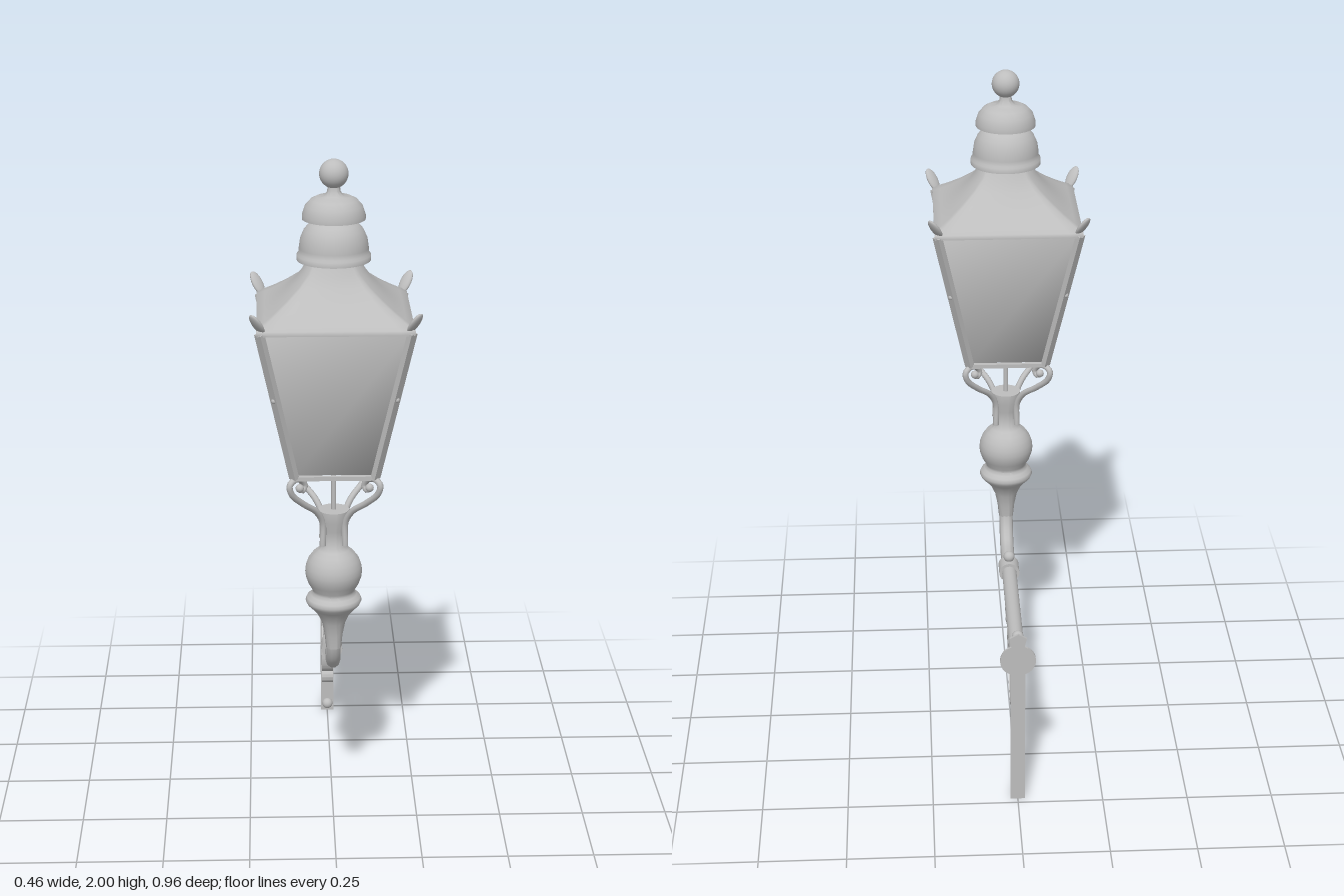
import * as THREE from 'three';
import { mergeVertices, toCreasedNormals } from 'three/addons/utils/BufferGeometryUtils.js';

const V = (x, y, z) => new THREE.Vector3(x, y, z);
const AXIS_Z = 0.25; // lantern axis
const PIPE_Y = 0.475;

export function createModel() {
  const model = new THREE.Group();
  const castMetal = new THREE.MeshStandardMaterial({ color: 0xbdbdbd, side: THREE.DoubleSide });
  castMetal.name = 'grey cast metal';

  const add = (parent, name, geometry, x = 0, y = 0, z = 0) => {
    const mesh = new THREE.Mesh(geometry, castMetal);
    mesh.name = name;
    mesh.position.set(x, y, z);
    parent.add(mesh);
    return mesh;
  };
  const lathe = (pts) => toCreasedNormals(
    new THREE.LatheGeometry(pts.map(([r, y]) => new THREE.Vector2(r, y)), 40), 0.9);
  const tube = (pts, r, n = 40) => new THREE.TubeGeometry(new THREE.CatmullRomCurve3(pts), n, r, 10);
  const beam = (parent, name, a, b, w, d = w) => {
    const bar = add(parent, name, new THREE.BoxGeometry(w, d, a.distanceTo(b)));
    bar.position.copy(a).add(b).multiplyScalar(0.5);
    bar.quaternion.setFromRotationMatrix(new THREE.Matrix4().lookAt(b, a, V(0, 1, 0)));
  };

  // ---- Lantern, built around its own axis ----
  const lantern = new THREE.Group();
  lantern.name = 'lantern';

  // Tapered glazing with closed floor, softly shaded across its corners
  const TOP = 0.205, BOTTOM = 0.113, Y0 = 1.125, Y1 = 1.57;
  let glazing = new THREE.BoxGeometry(2, 1, 2);
  const gp = glazing.attributes.position;
  for (let i = 0; i < gp.count; i++) {
    const up = gp.getY(i) > 0, h = up ? TOP - 0.004 : BOTTOM - 0.003;
    gp.setXYZ(i, gp.getX(i) * h, up ? Y1 : Y0 + 0.008, gp.getZ(i) * h);
  }
  glazing.deleteAttribute('normal');
  glazing.deleteAttribute('uv');
  glazing = mergeVertices(glazing);
  glazing.computeVertexNormals();
  add(lantern, 'glazing', glazing);

  // Corner bars, rails, corner leaves and scroll supports, one set per corner
  const leaf = new THREE.SphereGeometry(1, 16, 12);
  leaf.scale(0.019, 0.037, 0.009);
  for (let k = 0; k < 4; k++) {
    const side = new THREE.Group();
    side.name = 'lanternSide';
    side.rotation.y = k * Math.PI / 2;
    lantern.add(side);
    beam(side, 'topRail', V(-TOP - 0.006, Y1, TOP), V(TOP + 0.006, Y1, TOP), 0.014, 0.012);
    beam(side, 'bottomRail', V(-BOTTOM, Y0, BOTTOM), V(BOTTOM, Y0, BOTTOM), 0.014, 0.012);

    const corner = new THREE.Group();
    corner.name = 'corner';
    corner.rotation.y = Math.PI / 4;
    side.add(corner);
    beam(corner, 'cornerBar', V(0, Y0, BOTTOM * Math.SQRT2), V(0, Y1, TOP * Math.SQRT2), 0.024, 0.016);
    add(corner, 'barBolt', new THREE.SphereGeometry(0.008, 10, 8), 0, 1.37, 0.237);
    const horn = add(corner, 'cornerLeaf', leaf, 0, 1.599, 0.298);
    horn.rotation.x = 0.62;
    // S-shaped support ending in a small curl
    const arm = [[0.045, 0.89], [0.046, 0.96], [0.07, 1.0], [0.125, 1.04], [0.17, 1.08], [0.178, 1.108],
      [0.155, 1.12], [0.13, 1.112], [0.118, 1.092], [0.13, 1.08], [0.14, 1.09]];
    add(corner, 'scrollSupport', tube(arm.map(([r, y]) => V(0, y, r)), 0.009, 48));
    add(corner, 'curlEnd', new THREE.SphereGeometry(0.012, 12, 8), 0, 1.09, 0.138);
  }

  // Roof: square eaves blending upward into a round neck
  const levels = [[1.566, 0.213, 0], [1.578, 0.213, 0], [1.59, 0.192, 0.03], [1.61, 0.165, 0.1],
    [1.635, 0.137, 0.25], [1.665, 0.108, 0.5], [1.695, 0.087, 0.8], [1.73, 0.07, 1]];
  const N = 64, pos = [], idx = [];
  levels.forEach(([y, h, round], j) => {
    for (let i = 0; i < N; i++) {
      const a = (i / N) * Math.PI * 2, s = Math.sin(a), c = Math.cos(a);
      const square = 1 / Math.max(Math.abs(s), Math.abs(c));
      const r = h * (square * (1 - round) + round);
      pos.push(s * r, y, c * r);
      if (j) {
        const row = (j - 1) * N, next = (i + 1) % N;
        idx.push(row + i, row + next, row + N + i, row + N + i, row + next, row + N + next);
      }
    }
  });
  const roof = new THREE.BufferGeometry();
  roof.setAttribute('position', new THREE.Float32BufferAttribute(pos, 3));
  roof.setIndex(idx);
  roof.computeVertexNormals();
  add(lantern, 'roof', roof);

  // Two-tier vent cap and ball finial
  add(lantern, 'ventCap', lathe([[0.065, 1.722], [0.102, 1.722], [0.102, 1.737], [0.096, 1.742], [0.096, 1.756],
    [0.092, 1.783], [0.082, 1.806], [0.068, 1.822], [0.054, 1.83], [0.054, 1.836], [0.087, 1.836], [0.087, 1.848],
    [0.079, 1.872], [0.064, 1.889], [0.048, 1.897], [0.028, 1.9], [0.018, 1.912], [0.017, 1.93]]));
  add(lantern, 'ballFinial', new THREE.SphereGeometry(0.04, 28, 20), 0, 1.96, 0);

  // Stem: gas rod, socket, ball and flared collar
  add(lantern, 'gasRod', new THREE.CylinderGeometry(0.007, 0.007, 0.16, 12), 0, 1.06, 0);
  add(lantern, 'stem', lathe([[0.022, 0.56], [0.026, 0.6], [0.034, 0.64], [0.047, 0.668], [0.062, 0.686],
    [0.076, 0.7], [0.081, 0.711], [0.077, 0.721], [0.066, 0.729], [0.06, 0.737], [0.062, 0.746],
    [0.073, 0.765], [0.08, 0.785], [0.082, 0.801], [0.08, 0.818], [0.073, 0.838], [0.06, 0.856],
    [0.045, 0.869], [0.034, 0.88], [0.034, 0.93], [0.044, 0.96], [0.044, 0.99], [0, 0.99]]));
  lantern.position.z = AXIS_Z;
  model.add(lantern);

  // ---- Swept pipe to the wall ----
  add(model, 'bentPipe', tube([V(0, 0.59, AXIS_Z), V(0, 0.56, AXIS_Z - 0.003), V(0, 0.52, AXIS_Z - 0.022),
    V(0, 0.487, AXIS_Z - 0.06), V(0, PIPE_Y, AXIS_Z - 0.11), V(0, PIPE_Y, 0.06)], 0.021));
  const alongZ = (name, r, z0, z1) => {
    const c = add(model, name, new THREE.CylinderGeometry(r, r, z1 - z0, 28), 0, PIPE_Y, (z0 + z1) / 2);
    c.rotation.x = Math.PI / 2;
  };
  alongZ('wallPipe', 0.022, -0.475, 0.06);
  alongZ('pipeCollar', 0.031, 0.03, 0.085);
  alongZ('wallBoss', 0.03, -0.475, -0.46);
  for (const s of [-1, 1]) {
    add(model, 'collarStud', new THREE.SphereGeometry(0.017, 16, 12), 0, PIPE_Y + s * 0.043, 0.057);
  }

  // ---- Wall plate: strip with a round swell behind the pipe and a flared tip ----
  const plate = new THREE.Shape();
  plate.moveTo(-0.021, 0);
  plate.lineTo(0.021, 0);
  plate.lineTo(0.021, 0.43);
  plate.bezierCurveTo(0.062, 0.445, 0.062, 0.505, 0.019, 0.52);
  plate.lineTo(0.025, 0.548);
  plate.lineTo(0, 0.562);
  plate.lineTo(-0.025, 0.548);
  plate.lineTo(-0.019, 0.52);
  plate.bezierCurveTo(-0.062, 0.505, -0.062, 0.445, -0.021, 0.43);
  add(model, 'wallPlate', new THREE.ExtrudeGeometry(plate, { depth: 0.007, bevelEnabled: false }), 0, 0, -0.48);
  for (const y of [0.03, 0.545]) {
    add(model, 'wallBolt', new THREE.SphereGeometry(0.017, 16, 12), 0, y, -0.46);
  }

  // ---- Flat-bar scrollwork in the bracket; points are [z, y] ----
  const ribbon = (name, pts, n = 48) => {
    const t = 0.0045, width = 0.036;
    const curve = new THREE.SplineCurve(pts.map(([z, y]) => new THREE.Vector2(z, y)));
    const left = [], right = [];
    for (let i = 0; i <= n; i++) {
      const p = curve.getPoint(i / n), d = curve.getTangent(i / n);
      left.push(new THREE.Vector2(p.x - d.y * t, p.y + d.x * t));
      right.unshift(new THREE.Vector2(p.x + d.y * t, p.y - d.x * t));
    }
    const g = new THREE.ExtrudeGeometry(new THREE.Shape([...left, ...right]), { depth: width, bevelEnabled: false });
    g.translate(0, 0, -width / 2);
    g.rotateY(-Math.PI / 2);
    add(model, name, toCreasedNormals(g, 0.7));
  };
  const spiral = (z, y, r, start, turns) => Array.from({ length: 15 }, (_, i) => {
    const a = start + turns * Math.PI * 2 * i / 14, q = r * (1 - 0.55 * i / 14);
    return [z + Math.cos(a) * q, y + Math.sin(a) * q];
  });
  ribbon('mainScroll', [[-0.09, 0.447], [-0.15, 0.438], [-0.19, 0.41], [-0.23, 0.36], [-0.285, 0.3],
    [-0.35, 0.272], [-0.41, 0.28], [-0.455, 0.315], [-0.471, 0.365], [-0.463, 0.41], [-0.43, 0.447]], 64);
  ribbon('largeCurl', spiral(-0.362, 0.398, 0.038, 2.2, -0.95), 60);
  ribbon('middleCurl', [[-0.243, 0.35], [-0.24, 0.385], ...spiral(-0.275, 0.418, 0.034, 0, 0.95)], 60);
  ribbon('outerCurl', spiral(-0.07, 0.427, 0.024, 1.2, 0.95));
  ribbon('innerCurl', spiral(-0.115, 0.414, 0.024, 1.9, 0.95));
  ribbon('lowerScroll', [[-0.455, 0.315], [-0.42, 0.278], [-0.403, 0.235], [-0.408, 0.19], [-0.43, 0.165],
    [-0.458, 0.165], [-0.468, 0.188], [-0.452, 0.203], [-0.438, 0.192]], 56);
  ribbon('footCurl', spiral(-0.449, 0.137, 0.024, 1.6, -0.95));

  return model;
}
